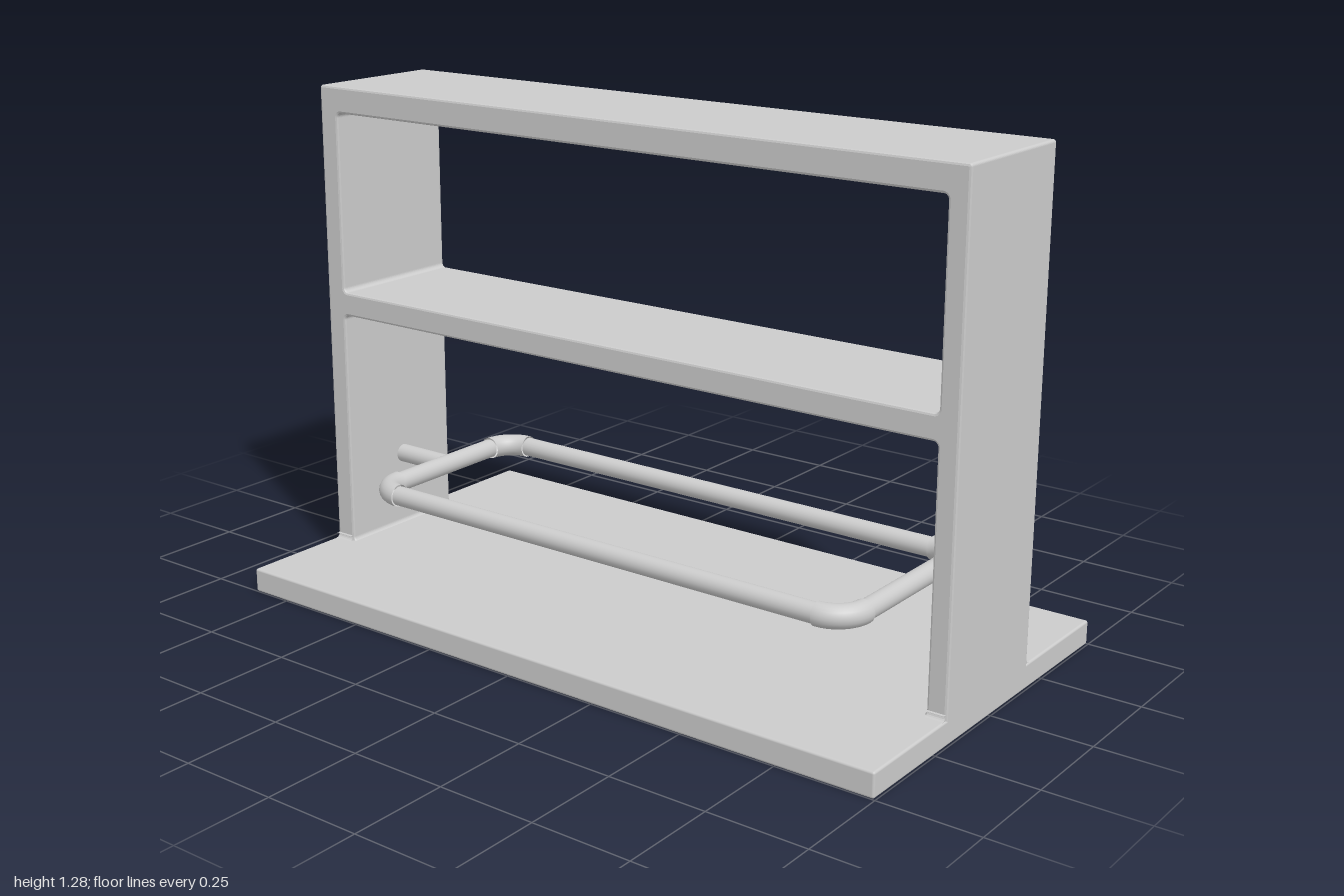
import * as THREE from 'three';
import { RoundedBoxGeometry } from 'three/addons/geometries/RoundedBoxGeometry.js';

const grey = new THREE.MeshStandardMaterial({ color: 0xcccccc });
const greyOpen = new THREE.MeshStandardMaterial({ color: 0xcccccc, side: THREE.DoubleSide });

function add(parent, name, geometry, material = grey) {
  const mesh = new THREE.Mesh(geometry, material);
  mesh.name = name;
  parent.add(mesh);
  return mesh;
}

// Rounded rectangle drawn on a Shape or Path
function roundedRect(path, x0, y0, x1, y1, r) {
  path.moveTo(x0 + r, y0);
  path.lineTo(x1 - r, y0);
  path.absarc(x1 - r, y0 + r, r, -Math.PI / 2, 0);
  path.lineTo(x1, y1 - r);
  path.absarc(x1 - r, y1 - r, r, 0, Math.PI / 2);
  path.lineTo(x0 + r, y1);
  path.absarc(x0 + r, y1 - r, r, Math.PI / 2, Math.PI);
  path.lineTo(x0, y0 + r);
  path.absarc(x0 + r, y0 + r, r, Math.PI, Math.PI * 1.5);
  return path;
}

export function createModel() {
  const model = new THREE.Group();
  model.name = 'shelfStand';

  const left = 0.997, right = -0.862;          // outer faces of the posts
  const innerLeft = 0.946, innerRight = -0.805; // inner faces of the posts
  const back = -0.178, front = 0.2;
  const baseTop = 0.065, height = 1.283;

  // Base plate
  const base = add(model, 'basePlate', new RoundedBoxGeometry(left - right, baseTop - 0.003, 1, 2, 0.006));
  base.position.set((left + right) / 2, baseTop / 2, 0);

  // Posts, shelf and top in one extruded frame with two openings
  const bevel = 0.006;
  const outline = roundedRect(new THREE.Shape(), right, 0.01, left, height, 0.007);
  outline.holes.push(
    roundedRect(new THREE.Path(), innerRight, baseTop - 0.003, innerLeft, 0.687, 0.012),
    roundedRect(new THREE.Path(), innerRight, 0.749, innerLeft, 1.215, 0.012),
  );
  const frame = add(model, 'shelfFrame', new THREE.ExtrudeGeometry(outline, {
    depth: front - back - 2 * bevel, bevelThickness: bevel, bevelSize: bevel,
    bevelOffset: -bevel, bevelSegments: 2, curveSegments: 4,
  }));
  frame.position.z = back + bevel;

  // Small fillets where the posts meet the base
  for (const [x0, x1] of [[right, innerRight], [innerLeft, left]]) {
    for (const s of [1, -1]) {
      const r = 0.014, p = new THREE.Shape();
      p.moveTo(s * 0.008, r);
      p.lineTo(-s * 0.008, r);
      p.lineTo(-s * 0.008, -0.006);
      p.lineTo(s * r, -0.006);
      p.lineTo(s * r, 0);
      p.quadraticCurveTo(0, 0, 0, r);
      const g = new THREE.ExtrudeGeometry(p, { depth: x1 - x0 - 0.006, bevelEnabled: false, curveSegments: 5 });
      g.rotateY(Math.PI / 2);
      add(model, 'postFillet', g).position.set(x0 + 0.003, baseTop - 0.002, s > 0 ? back : front);
    }
  }

  // Bent rod loop: straight tubes joined by slightly thicker elbows
  const loop = new THREE.Group();
  loop.name = 'rodLoop';
  loop.position.set(0.066, 0.26, 0.008);
  model.add(loop);
  const hx = 0.709, hz = 0.255, bend = 0.075, tube = 0.025;
  for (const s of [1, -1]) {
    const long = new THREE.CylinderGeometry(tube, tube, 2 * (hx - bend), 24).rotateZ(Math.PI / 2);
    add(loop, 'longTube', long).position.z = s * hz;
    const short = new THREE.CylinderGeometry(tube, tube, 2 * (hz - bend), 24).rotateX(Math.PI / 2);
    add(loop, 'endTube', short).position.x = s * hx;
  }
  [[1, 1], [1, -1], [-1, -1], [-1, 1]].forEach(([sx, sz], i) => {
    const g = new THREE.TorusGeometry(bend, 0.029, 20, 14, Math.PI / 2);
    g.rotateX(Math.PI / 2).rotateY(i * Math.PI / 2);
    add(loop, 'elbow', g, greyOpen).position.set(sx * (hx - bend), 0, sz * (hz - bend));
  });

  // Handle rod running through the right post to the loop
  const rodEnd = 0.066 - hx;
  const rod = new THREE.CylinderGeometry(0.024, 0.024, rodEnd + 1, 24).rotateZ(Math.PI / 2);
  add(model, 'handleRod', rod).position.set((rodEnd - 1) / 2, 0.26, 0);

  return model;
}
